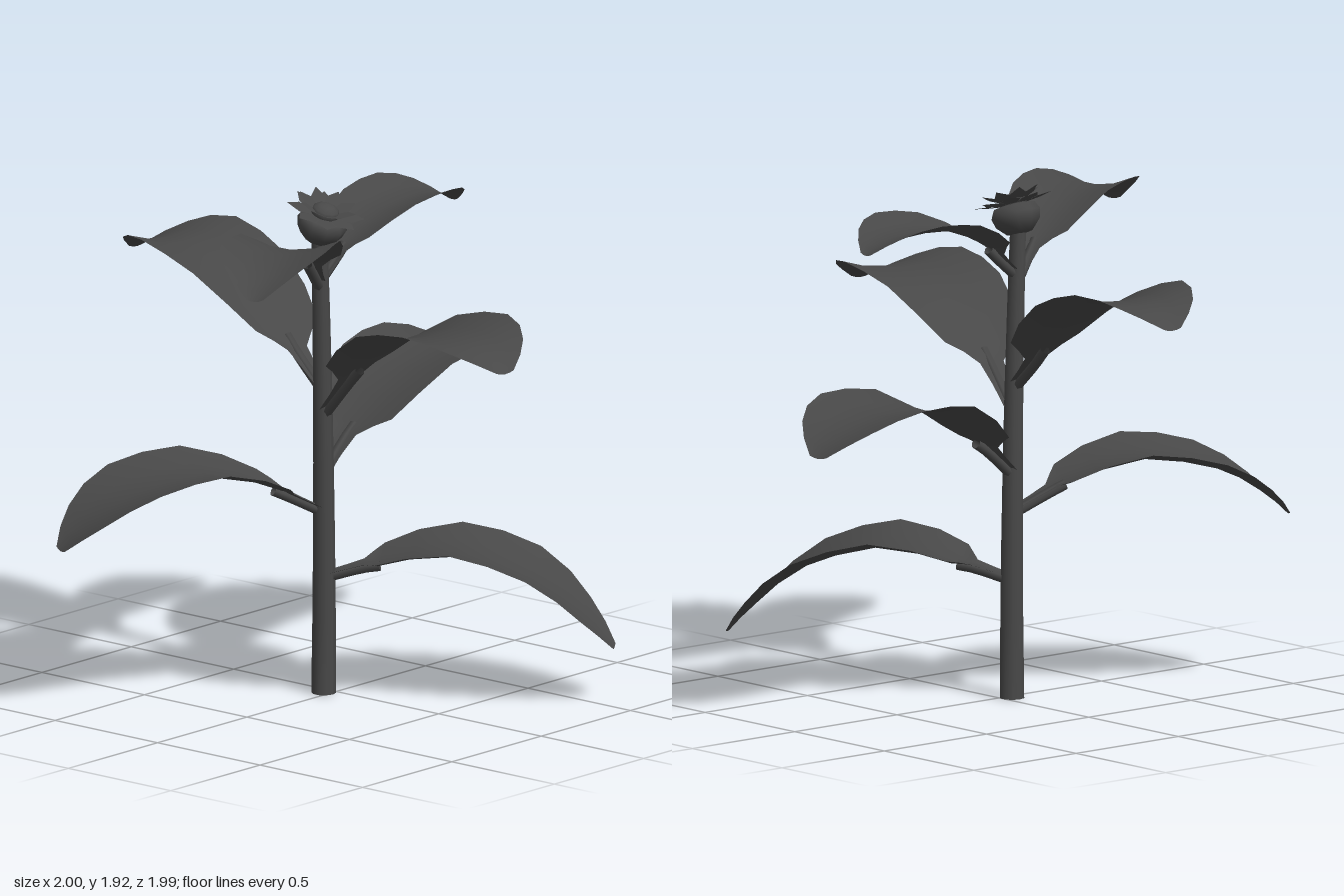
import * as THREE from 'three';

const green = new THREE.MeshStandardMaterial({ color: 0x484848, side: THREE.DoubleSide });
const crisp = green.clone();
crisp.flatShading = true;

// Leaf stations from stem to tip: fraction of the length, fraction of the full width
const ALONG = [0, 0.13, 0.19, 0.45, 0.72, 0.9, 1];
const WIDTH = [0.12, 0.2, 0.64, 0.95, 1, 0.68, 0.16];
const CUP = 0.05;

// base and tip are [x, z]; heights gives the midrib at each station
const LEAVES = [
  { name: 'lowerFrontLeaf', base: [-0.04, -0.02], tip: [0.57, 0.86], half: 0.27,
    heights: [0.45, 0.49, 0.5, 0.55, 0.46, 0.31, 0.2] },
  { name: 'lowerRightLeaf', base: [-0.05, -0.02], tip: [-0.98, -0.49], half: 0.26,
    heights: [0.7, 0.77, 0.8, 0.88, 0.83, 0.73, 0.64] },
  { name: 'middleLeftLeaf', base: [-0.05, -0.02], tip: [1.0, -0.13], half: 0.26,
    heights: [0.84, 0.95, 0.99, 1.14, 1.16, 1.11, 1.04] },
  { name: 'middleFrontLeaf', base: [-0.06, 0], tip: [-0.19, 0.99], half: 0.26,
    heights: [1.08, 1.22, 1.28, 1.44, 1.49, 1.46, 1.41] },
  { name: 'middleBackLeaf', base: [-0.06, -0.02], tip: [0.02, -0.99], half: 0.245,
    heights: [1.17, 1.28, 1.34, 1.51, 1.59, 1.57, 1.52] },
  { name: 'upperRightLeaf', base: [-0.08, -0.01], tip: [-0.87, 0.36], half: 0.2,
    heights: [1.56, 1.65, 1.69, 1.79, 1.8, 1.77, 1.71] },
  { name: 'upperLeftLeaf', base: [-0.08, -0.01], tip: [0.66, -0.01], half: 0.185,
    heights: [1.58, 1.66, 1.7, 1.78, 1.8, 1.78, 1.74] },
];

function addMesh(parent, name, geometry, material = green) {
  const mesh = new THREE.Mesh(geometry, material);
  mesh.name = name;
  parent.add(mesh);
  return mesh;
}

// A cupped blade that arches out from the stem, on a short round stalk
function makeLeaf({ name, base, tip, half, heights }) {
  const leaf = new THREE.Group();
  leaf.name = name;
  const start = new THREE.Vector3(base[0], 0, base[1]);
  const run = new THREE.Vector3(tip[0], 0, tip[1]).sub(start);
  const side = run.clone().normalize().cross(new THREE.Vector3(0, 1, 0));
  // x = fraction along, y = midrib height, z = fraction of width
  const profile = new THREE.CatmullRomCurve3(
    ALONG.map((u, i) => new THREE.Vector3(u, heights[i], WIDTH[i])));

  const blade = new THREE.PlaneGeometry(1, 1, 4, 12);
  const pos = blade.attributes.position;
  const p = new THREE.Vector3();
  for (let i = 0; i < pos.count; i++) {
    const across = pos.getX(i) * 2;
    const s = profile.getPoint(pos.getY(i) + 0.5);
    p.copy(start).addScaledVector(run, s.x).addScaledVector(side, across * half * s.z);
    pos.setXYZ(i, p.x, s.y + CUP * across * across * s.z, p.z);
  }
  blade.computeVertexNormals();
  addMesh(leaf, 'blade', blade);

  const stalkPath = new THREE.CatmullRomCurve3([0, 1, 2].map((i) =>
    start.clone().addScaledVector(run, ALONG[i]).setY(heights[i] - 0.012)));
  addMesh(leaf, 'stalk', new THREE.TubeGeometry(stalkPath, 4, 0.02, 6));
  return leaf;
}

// Flower head: round bud, two rings of pointed petals and a domed centre
function makeFlower() {
  const flower = new THREE.Group();
  flower.name = 'flower';
  flower.position.set(-0.09, 1.8, 0.01);
  flower.rotation.x = 0.35;

  const cup = [[0, -0.08], [0.05, -0.07], [0.085, -0.035], [0.095, 0], [0.08, 0.03], [0, 0.045]];
  addMesh(flower, 'bud', new THREE.LatheGeometry(cup.map(([x, y]) => new THREE.Vector2(x, y)), 10));

  const outline = [[-0.02, 0.05], [-0.038, 0.1], [0, 0.15], [0.038, 0.1], [0.02, 0.05]];
  const petalShape = new THREE.Shape(outline.map(([x, y]) => new THREE.Vector2(x, y)));
  const petalGeometry = new THREE.ShapeGeometry(petalShape).rotateX(-Math.PI / 2);
  const petals = 8;
  for (const [lift, size, turn] of [[0.15, 1, 0], [0.45, 0.85, 0.5]]) {
    for (let i = 0; i < petals; i++) {
      const petal = addMesh(flower, 'petal', petalGeometry, crisp);
      petal.position.y = 0.03;
      petal.rotation.order = 'YXZ';
      petal.rotation.set(lift, ((i + turn) / petals) * Math.PI * 2, 0);
      petal.scale.setScalar(size);
    }
  }
  const centre = addMesh(flower, 'flowerCentre', new THREE.SphereGeometry(0.055, 10, 6));
  centre.scale.y = 0.6;
  centre.position.y = 0.045;
  return flower;
}

export function createModel() {
  const plant = new THREE.Group();
  plant.name = 'plant';

  // Tapered stem curving slightly to one side
  const stem = new THREE.CylinderGeometry(0.03, 0.046, 1.75, 10, 6).translate(0, 0.875, 0);
  const pos = stem.attributes.position;
  for (let i = 0; i < pos.count; i++) {
    const t = pos.getY(i) / 1.75;
    pos.setX(i, pos.getX(i) - 0.04 - 0.045 * t * t);
    pos.setZ(i, pos.getZ(i) - 0.026 + 0.018 * t);
  }
  stem.computeVertexNormals();
  addMesh(plant, 'stem', stem);

  for (const spec of LEAVES) plant.add(makeLeaf(spec));
  plant.add(makeFlower());
  return plant;
}
